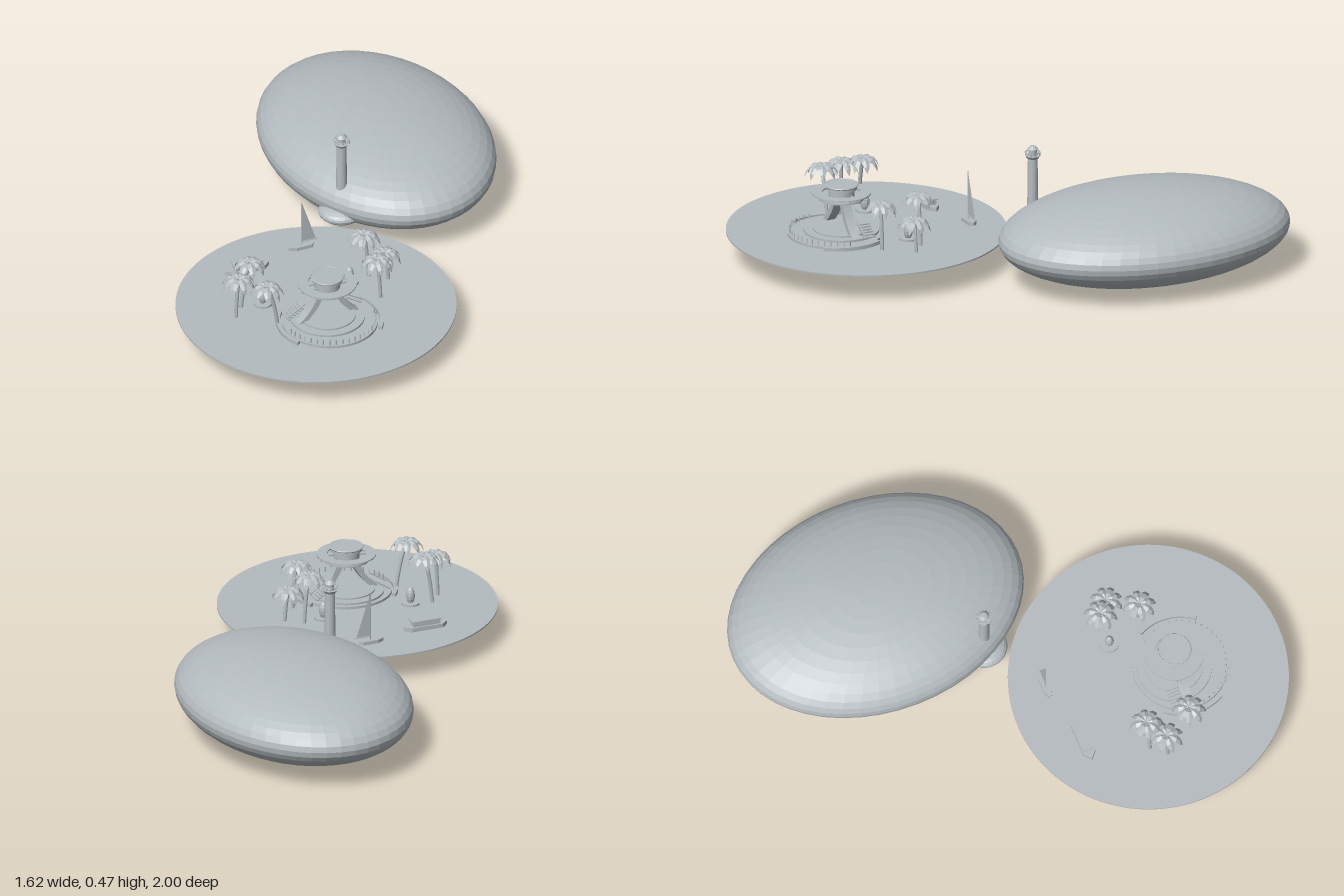
import * as THREE from 'three';

export function createModel() {
  const root = new THREE.Group();
  const stone = new THREE.MeshStandardMaterial({ color: 0xb4bbbf, flatShading: true, side: THREE.DoubleSide });
  stone.name = 'pale grey';
  const GROUND = 0.114;

  function add(parent, name, geo, x = 0, y = 0, z = 0) {
    const m = new THREE.Mesh(geo, stone);
    m.name = name;
    m.position.set(x, y, z);
    parent.add(m);
    return m;
  }
  function group(name, x, y, z) {
    const g = new THREE.Group();
    g.name = name;
    g.position.set(x, y, z);
    root.add(g);
    return g;
  }
  // Cylinder standing on y
  const disc = (r, h, n = 40, top = r) => new THREE.CylinderGeometry(top, r, h, n).translate(0, h / 2, 0);

  // Large island body and round water plate
  const island = add(root, 'islandEllipsoid', new THREE.SphereGeometry(1, 48, 24), 0.376, 0.169, -0.41);
  island.scale.set(0.431, 0.169, 0.59);
  add(root, 'lagoonPlate', disc(0.54, 0.006, 96), -0.271, GROUND - 0.006, 0.458);

  // Lighthouse on a low rock
  const light = group('lighthouse', 0.08, 0, -0.08);
  add(light, 'rock', new THREE.SphereGeometry(0.09, 24, 12), 0, 0.125, 0).scale.y = 0.4;
  add(light, 'tower', disc(0.023, 0.3, 20, 0.019), 0, 0.13, 0);
  add(light, 'gallery', disc(0.022, 0.012, 20, 0.03), 0, 0.425, 0);
  add(light, 'galleryRail', new THREE.TorusGeometry(0.029, 0.002, 6, 20).rotateX(Math.PI / 2), 0, 0.45, 0);
  for (let i = 0; i < 10; i++) {
    const a = (i / 10) * Math.PI * 2;
    add(light, 'railPost', disc(0.0015, 0.014, 5), 0.029 * Math.cos(a), 0.436, 0.029 * Math.sin(a));
  }
  add(light, 'lantern', disc(0.016, 0.028, 12), 0, 0.437, 0);
  add(light, 'lanternRoof', disc(0.022, 0.012, 16, 0.01), 0, 0.463, 0);

  // Pavilion: round terraces, arched legs and a stacked disc top
  const pav = group('pavilion', -0.272, GROUND, 0.565);
  add(pav, 'plaza', disc(0.185, 0.01, 64), 0, 0, 0.025);
  add(pav, 'terrace', disc(0.145, 0.008, 48), 0, 0.01, 0);
  add(pav, 'innerTerrace', disc(0.11, 0.006, 48), 0, 0.018, 0);
  for (const s of [0, Math.PI]) {
    const curb = new THREE.Shape();
    curb.absarc(0, 0, 0.208, s - 0.7, s + 0.5, false);
    curb.absarc(0, 0, 0.192, s + 0.5, s - 0.7, true);
    add(pav, 'sideCurb', new THREE.ExtrudeGeometry(curb, { depth: 0.014, bevelEnabled: false, curveSegments: 16 })
      .rotateX(-Math.PI / 2), 0, 0, 0.025);
  }
  for (let i = 0; i < 21; i++) {
    const a = 0.15 + (i / 20) * (Math.PI - 0.3);
    add(pav, 'plazaPost', disc(0.0025, 0.022, 6), 0.177 * Math.cos(a), 0.01, 0.025 + 0.177 * Math.sin(a));
  }
  const leg = new THREE.Shape();
  leg.moveTo(0.13, 0.015);
  leg.quadraticCurveTo(0.065, 0.06, 0.04, 0.15);
  leg.lineTo(0.012, 0.15);
  leg.quadraticCurveTo(0.035, 0.07, 0.1, 0.015);
  const legGeo = new THREE.ExtrudeGeometry(leg, { depth: 0.036, bevelEnabled: false, curveSegments: 10 }).translate(0, 0, -0.018);
  for (const s of [1, -1]) {
    add(pav, 'archLeg', legGeo).rotation.y = s > 0 ? 0 : Math.PI;
    // Stair flight beside each leg
    for (let i = 0; i < 6; i++) {
      add(pav, 'step', new THREE.BoxGeometry(0.011, 0.005, 0.05), s * (0.15 - i * 0.011), 0.022 + i * 0.007, -0.045);
    }
    const rail = add(pav, 'stairRail', new THREE.BoxGeometry(0.085, 0.004, 0.004), s * 0.122, 0.055, -0.02);
    rail.rotation.z = -s * 0.56;
  }
  const bowl = [[0.001, 0.128], [0.035, 0.128], [0.06, 0.138], [0.09, 0.142], [0.09, 0.149], [0.001, 0.149]];
  add(pav, 'bowl', new THREE.LatheGeometry(bowl.map(p => new THREE.Vector2(...p)), 40));
  add(pav, 'core', disc(0.05, 0.04, 32), 0, 0.145, 0);
  const ring = new THREE.Shape().absarc(0, 0, 0.114, 0, Math.PI * 2);
  ring.holes.push(new THREE.Path().absarc(0, 0, 0.074, 0, Math.PI * 2, true));
  add(pav, 'sunRing', new THREE.ExtrudeGeometry(ring, { depth: 0.005, bevelEnabled: false, curveSegments: 40 })
    .rotateX(-Math.PI / 2), 0, 0.162, 0);
  for (const s of [1, -1]) {
    for (const z of [-0.018, 0.018]) {
      add(pav, 'ringArm', new THREE.BoxGeometry(0.07, 0.006, 0.005), s * 0.08, 0.16, z);
    }
  }
  add(pav, 'roof', disc(0.06, 0.018, 40), 0, 0.18, 0);
  add(pav, 'roofRim', new THREE.TorusGeometry(0.062, 0.004, 6, 40).rotateX(Math.PI / 2), 0, 0.196, 0);

  // Palm frond: a folded strip that tapers and droops
  const frond = new THREE.PlaneGeometry(1, 1, 2, 4);
  const section = [[0, 0, 0.004], [0.022, 0.01, 0.012], [0.042, 0.004, 0.015], [0.058, -0.016, 0.01], [0.066, -0.042, 0.0005]];
  const fp = frond.attributes.position;
  for (let i = 0; i < fp.count; i++) {
    const [r, y, w] = section[Math.floor(i / 3)];
    const side = (i % 3) - 1;
    fp.setXYZ(i, r, y - Math.abs(side) * w * 0.5, side * w);
  }
  // Each palm: crown x, z, crown height, trunk base offset in x
  const palms = [
    [-0.575, 0.41, 0.172, -0.012], [-0.505, 0.355, 0.195, -0.035], [-0.51, 0.53, 0.19, 0.045],
    [-0.025, 0.36, 0.195, 0.02], [0.04, 0.41, 0.125, 0.015], [-0.04, 0.515, 0.18, 0.015],
  ];
  palms.forEach(([x, z, h, lean], k) => {
    const palm = group('palm', x, GROUND, z);
    const path = new THREE.QuadraticBezierCurve3(
      new THREE.Vector3(lean, 0, 0), new THREE.Vector3(lean * 0.7, h * 0.6, 0), new THREE.Vector3(0, h, 0));
    add(palm, 'trunk', new THREE.TubeGeometry(path, 8, 0.008, 8));
    for (let i = 0; i < 8; i++) {
      add(palm, 'frond', frond, 0, h, 0).rotation.y = (i / 8) * Math.PI * 2 + k * 0.6;
    }
  });
  // Round planters with an upright leaf-shaped shrub
  for (const [x, z] of [[-0.455, 0.37], [-0.09, 0.37]]) {
    const planter = group('planter', x, GROUND, z);
    add(planter, 'planterBase', disc(0.036, 0.008, 24));
    add(planter, 'shrub', new THREE.SphereGeometry(0.022, 10, 8), 0, 0.035, 0).scale.set(0.8, 1.6, 0.8);
  }

  // Hull with pointed ends: half length, half width, tip lengths
  function hull(l, w, front, back, h) {
    const s = new THREE.Shape();
    s.moveTo(-l, 0);
    s.lineTo(-l + front, w);
    s.lineTo(l - back, w);
    if (back > 0) s.lineTo(l, 0);
    s.lineTo(l - back, -w);
    s.lineTo(-l + front, -w);
    return new THREE.ExtrudeGeometry(s, { depth: h, bevelEnabled: false }).rotateX(-Math.PI / 2);
  }
  const ferry = group('ferry', -0.412, GROUND, 0.13);
  add(ferry, 'ferryHull', hull(0.092, 0.025, 0.028, 0.028, 0.026), 0, -0.01, 0);
  add(ferry, 'cabin', new THREE.BoxGeometry(0.11, 0.022, 0.036), 0, 0.025, 0);
  add(ferry, 'cabinRoof', new THREE.BoxGeometry(0.124, 0.004, 0.046), 0, 0.038, 0);

  const boat = group('sailboat', -0.162, GROUND, 0.077);
  add(boat, 'sailboatHull', hull(0.052, 0.016, 0.028, 0.01, 0.024), 0, -0.01, 0);
  add(boat, 'mast', disc(0.002, 0.195, 6), 0.003, 0.012, 0);
  add(boat, 'boom', new THREE.BoxGeometry(0.068, 0.003, 0.003), 0.036, 0.027, 0);
  const sail = new THREE.Shape([[0.004, 0.03], [0.062, 0.03], [0.004, 0.205]].map(p => new THREE.Vector2(...p)));
  add(boat, 'sail', new THREE.ShapeGeometry(sail));

  return root;
}
